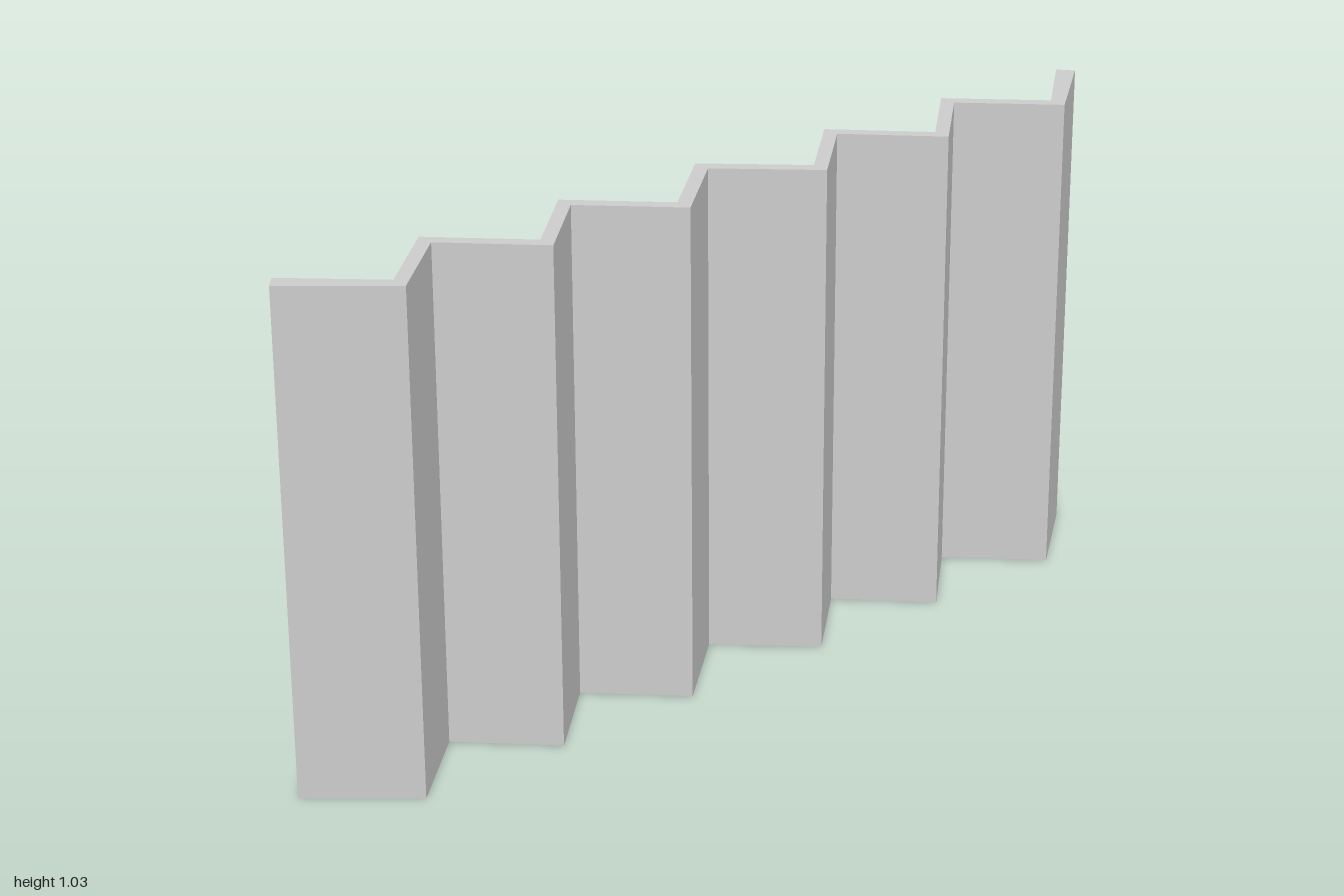
import * as THREE from 'three';

const HEIGHT = 1.028;
const PEAK = 0.097; // depth of the outer fold edges
const INNER = 0.058; // depth of the inner fold edges

export function createModel() {
  const group = new THREE.Group();
  group.name = 'foldingScreen';

  // fold lines from the middle to one end, alternating back and front
  const folds = [0, 0.17, 0.333, 0.491, 0.652, 0.815];
  const half = (backFold, frontFold, end) =>
    [...folds.map((x, i) => [x, i % 2 ? frontFold : backFold]), end];
  const mirrored = (pts) =>
    [...pts.slice(1).reverse().map(([x, z]) => [-x, z]), ...pts];

  // front and back outlines of the zigzag, with square-cut ends
  const front = mirrored(half(-INNER, PEAK, [1, -0.057]));
  const back = mirrored(half(-PEAK, INNER, [0.975, -0.088]));
  const outline = [...back, ...front.reverse()].map(([x, z]) => new THREE.Vector2(x, z));

  // raise the plan upright
  const geometry = new THREE.ExtrudeGeometry(new THREE.Shape(outline), {
    depth: HEIGHT,
    bevelEnabled: false,
  });
  geometry.rotateX(Math.PI / 2);
  geometry.translate(0, HEIGHT, 0);

  const panels = new THREE.Mesh(
    geometry,
    new THREE.MeshStandardMaterial({ color: 0xcccccc, flatShading: true })
  );
  panels.name = 'zigzagPanels';
  group.add(panels);
  return group;
}
